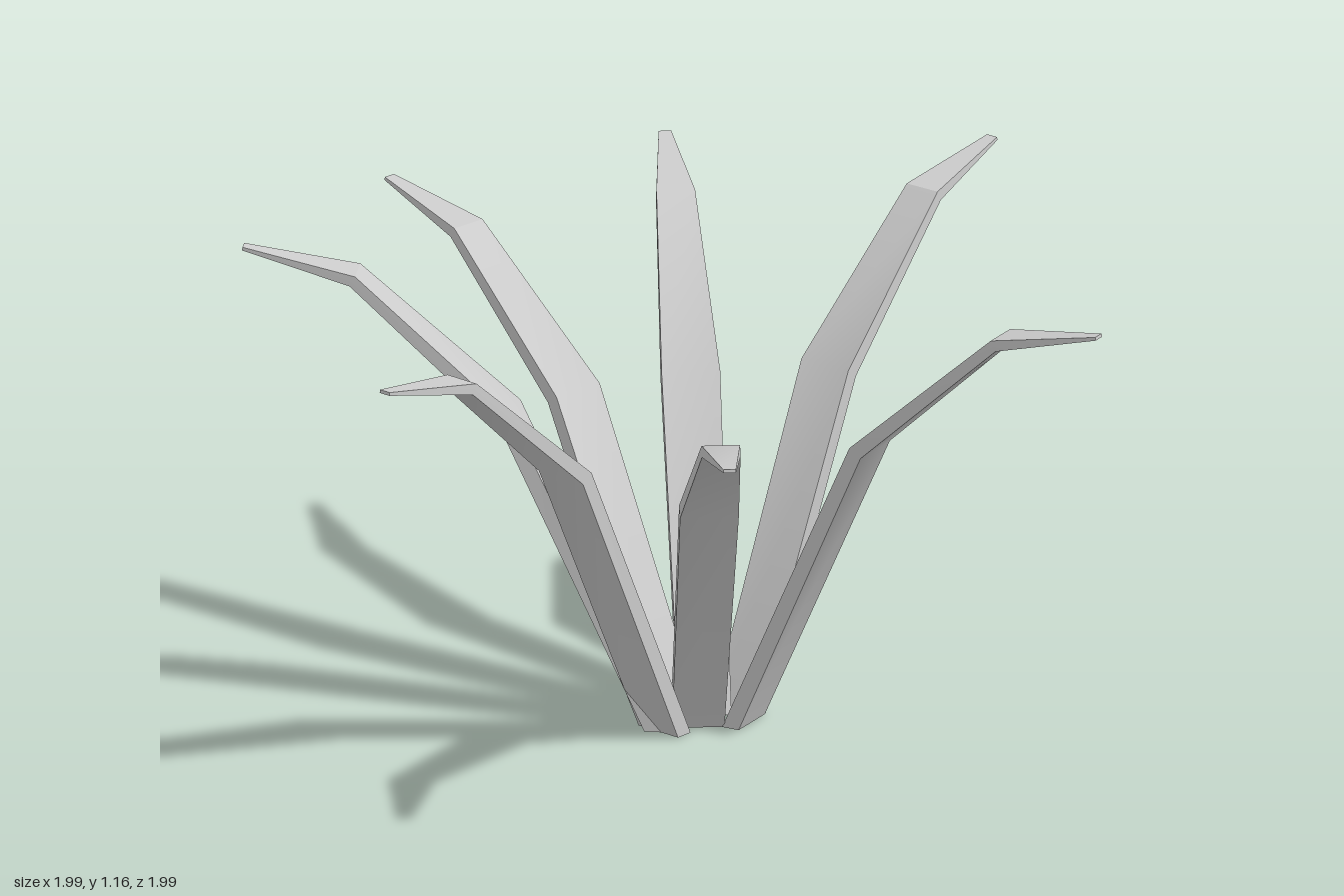
import * as THREE from 'three';
import { toCreasedNormals } from 'three/addons/utils/BufferGeometryUtils.js';

// Stations along a leaf: fraction of reach, fraction of height, width, thickness,
// and pitch (degrees above horizontal) of the blade there
const STATIONS = [
  { reach: 0, height: 0, width: 0.125, thick: 0.045, pitch: 90 },
  { reach: 0.355, height: 0.662, width: 0.14, thick: 0.037, pitch: 55 },
  { reach: 0.73, height: 0.95, width: 0.092, thick: 0.028, pitch: 28 },
  { reach: 1, height: 1, width: 0.03, thick: 0.008, pitch: 10 },
];

// Each leaf: base x, z, then tip x, z and tip height
const LEAVES = [
  [-0.03, -0.03, -0.375, -0.965, 1.095],
  [0.045, -0.03, 0.345, -0.99, 1.095],
  [0.125, -0.01, 0.985, -0.505, 1.158],
  [0.11, 0.055, 0.7, 0.83, 1.158],
  [0.0, 0.035, -0.315, 0.985, 1.02],
  [-0.085, 0.035, -0.99, 0.475, 1.14],
  [-0.085, -0.01, -0.94, -0.515, 1.158],
];

// A slab bent outward over three segments, leaning toward +z
function leafGeometry(reach, height) {
  const geometry = new THREE.BoxGeometry(1, 1, 1, 1, 3, 1);
  const p = geometry.attributes.position;
  for (let i = 0; i < p.count; i++) {
    const s = STATIONS[Math.round((p.getY(i) + 0.5) * 3)];
    const a = THREE.MathUtils.degToRad(s.pitch);
    const offset = p.getZ(i) * s.thick;
    p.setXYZ(
      i,
      p.getX(i) * s.width,
      s.height * height - offset * Math.cos(a),
      s.reach * reach + offset * Math.sin(a)
    );
  }
  return toCreasedNormals(geometry, Math.PI / 6);
}

export function createModel() {
  const plant = new THREE.Group();
  plant.name = 'plant';
  const material = new THREE.MeshStandardMaterial({ color: 0xcccccc });

  LEAVES.forEach(([bx, bz, tx, tz, height], i) => {
    const dx = tx - bx, dz = tz - bz;
    const leaf = new THREE.Mesh(leafGeometry(Math.hypot(dx, dz), height), material);
    leaf.name = `leaf${i + 1}`;
    leaf.position.set(bx, 0, bz);
    leaf.rotation.y = Math.atan2(dx, dz);
    plant.add(leaf);
  });
  return plant;
}
